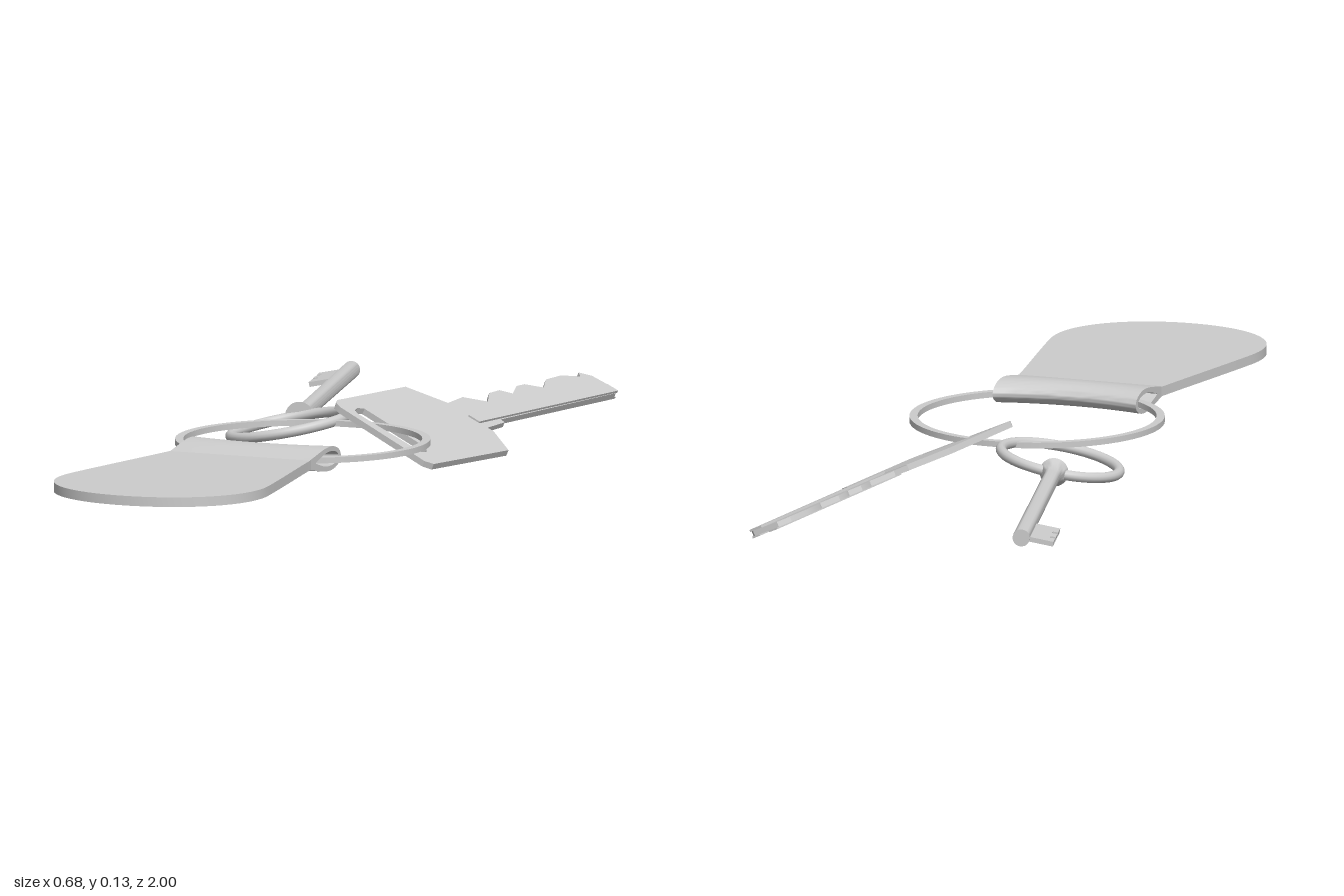
import * as THREE from 'three';
import { toCreasedNormals } from 'three/addons/utils/BufferGeometryUtils.js';

const material = new THREE.MeshStandardMaterial({ color: 0xcccccc });

function part(name, geometry, parent) {
  const mesh = new THREE.Mesh(geometry, material);
  mesh.name = name;
  parent.add(mesh);
  return mesh;
}

const toPoints = (list) => list.map(([x, y]) => new THREE.Vector2(x, y));

// Flat plate lying in XZ (shape y points to -z), centred on height y
function plate(shape, thickness, y = 0) {
  const g = new THREE.ExtrudeGeometry(shape, { depth: thickness, bevelEnabled: false, curveSegments: 24 });
  g.translate(0, 0, -thickness / 2).rotateX(-Math.PI / 2).translate(0, y, 0);
  return toCreasedNormals(g, 0.5);
}

function makeFob() {
  const fob = new THREE.Group();
  fob.name = 'fob';
  fob.position.x = 0.075;

  // Flared, round-ended tab
  const tab = new THREE.Shape();
  tab.moveTo(-0.157, -0.4);
  tab.bezierCurveTo(-0.168, -0.47, -0.21, -0.68, -0.222, -0.76);
  tab.bezierCurveTo(-0.245, -0.9, -0.14, -0.998, 0, -0.998);
  tab.bezierCurveTo(0.14, -0.998, 0.245, -0.9, 0.222, -0.76);
  tab.bezierCurveTo(0.21, -0.68, 0.168, -0.47, 0.157, -0.4);
  part('fobTab', plate(tab, 0.02, 0.087), fob);

  // Hollow folded loop: lens profile in (z, y), swept across x
  const lens = new THREE.Shape();
  lens.moveTo(0.41, 0.077);
  lens.lineTo(0.41, 0.097);
  lens.bezierCurveTo(0.37, 0.105, 0.35, 0.112, 0.325, 0.112);
  lens.bezierCurveTo(0.3, 0.112, 0.28, 0.1, 0.28, 0.087);
  lens.bezierCurveTo(0.28, 0.074, 0.3, 0.062, 0.325, 0.062);
  lens.bezierCurveTo(0.35, 0.062, 0.37, 0.069, 0.41, 0.077);
  const hole = new THREE.Path();
  hole.moveTo(0.385, 0.087);
  hole.bezierCurveTo(0.36, 0.097, 0.345, 0.102, 0.325, 0.102);
  hole.bezierCurveTo(0.305, 0.102, 0.29, 0.095, 0.29, 0.087);
  hole.bezierCurveTo(0.29, 0.079, 0.305, 0.072, 0.325, 0.072);
  hole.bezierCurveTo(0.345, 0.072, 0.36, 0.077, 0.385, 0.087);
  lens.holes.push(hole);
  const width = 0.315;
  const g = new THREE.ExtrudeGeometry(lens, { depth: width, steps: 14, bevelEnabled: false, curveSegments: 10 });
  g.translate(0, 0, -width / 2).rotateY(-Math.PI / 2);
  // Bow the folded edge so its ends reach further back than its middle
  const p = g.attributes.position;
  for (let i = 0; i < p.count; i++) {
    const t = p.getX(i) / (width / 2);
    p.setZ(i, p.getZ(i) - 0.026 * t * t * (0.41 - p.getZ(i)) / 0.13);
  }
  part('fobLoop', toCreasedNormals(g, 0.7), fob);
  return fob;
}

function makeSplitRing() {
  // Flat-sided band
  const [inner, outer, h] = [0.246, 0.263, 0.006];
  const profile = toPoints([[inner, -h], [outer, -h], [outer, h], [inner, h], [inner, -h]]);
  const mesh = new THREE.Mesh(toCreasedNormals(new THREE.LatheGeometry(profile, 72), 0.5), material);
  mesh.name = 'mainRing';
  mesh.position.set(0.073, 0.0825, 0.092);
  return mesh;
}

function makeBarrelKey() {
  const key = new THREE.Group();
  key.name = 'barrelKey';
  key.position.set(-0.087, 0.066, -0.196);
  key.rotation.set(0, 0.256, 0.19, 'YXZ');

  part('barrelKeyBow', new THREE.TorusGeometry(0.124, 0.011, 12, 56).rotateX(Math.PI / 2), key);

  // Round shaft, widened where it meets the bow
  const shaft = toPoints([[0, 0.118], [0.03, 0.118], [0.023, 0.133], [0.018, 0.155], [0.017, 0.18], [0.018, 0.754], [0, 0.754]]);
  part('barrelKeyShaft', toCreasedNormals(new THREE.LatheGeometry(shaft, 24).rotateX(-Math.PI / 2), 0.7), key);

  // Notched bit
  const bit = new THREE.Shape(toPoints([
    [-0.01, 0.62], [-0.067, 0.62], [-0.067, 0.66], [-0.056, 0.66], [-0.056, 0.675],
    [-0.067, 0.675], [-0.067, 0.705], [-0.056, 0.705], [-0.056, 0.718], [-0.067, 0.718],
    [-0.067, 0.75], [-0.01, 0.75]]));
  part('barrelKeyBit', plate(bit, 0.01), key);
  return key;
}

function makeFlatKey() {
  const key = new THREE.Group();
  key.name = 'flatKey';
  key.position.set(0.177, 0.066, -0.28);
  key.rotation.set(-0.015, -0.12, -0.42, 'YXZ');

  // Bow with a slot for the ring
  const bow = new THREE.Shape(toPoints([
    [-0.133, 0.124], [-0.139, -0.138], [-0.13, -0.155], [-0.113, -0.163], [0.116, -0.174],
    [0.132, -0.161], [0.141, 0.122], [0.071, 0.168], [-0.052, 0.17]]));
  bow.holes.push(new THREE.Path(toPoints([
    [-0.092, -0.1], [0.06, -0.105], [0.08, -0.112], [0.089, -0.125], [0.085, -0.14],
    [-0.082, -0.143], [-0.094, -0.135], [-0.1, -0.118]])));
  part('flatKeyBow', plate(bow, 0.013), key);

  // Blade with a cut edge on the left
  const blade = new THREE.Shape(toPoints([
    [-0.052, 0.165], [-0.061, 0.243], [-0.029, 0.295], [-0.055, 0.34], [-0.057, 0.383],
    [-0.037, 0.406], [-0.058, 0.452], [-0.058, 0.484], [-0.034, 0.524], [-0.058, 0.569],
    [-0.06, 0.633], [-0.043, 0.683], [-0.057, 0.697], [-0.037, 0.72], [0.02, 0.727],
    [0.035, 0.707], [0.037, 0.249], [0.049, 0.245], [0.054, 0.165]]));
  part('flatKeyBlade', plate(blade, 0.011), key);

  // Raised rails that leave a long groove on each face
  const rail = (x0, x1) => new THREE.Shape(toPoints([[x0, 0.165], [x1, 0.165], [x1, 0.715], [x0, 0.715]]));
  part('upperRail', plate(rail(0.005, 0.034), 0.005, 0.0075), key);
  part('lowerRailRight', plate(rail(0.016, 0.034), 0.004, -0.007), key);
  part('lowerRailLeft', plate(rail(-0.029, -0.008), 0.004, -0.007), key);
  return key;
}

export function createModel() {
  const model = new THREE.Group();
  model.name = 'keyring';
  model.add(makeFob(), makeSplitRing(), makeBarrelKey(), makeFlatKey());
  return model;
}
